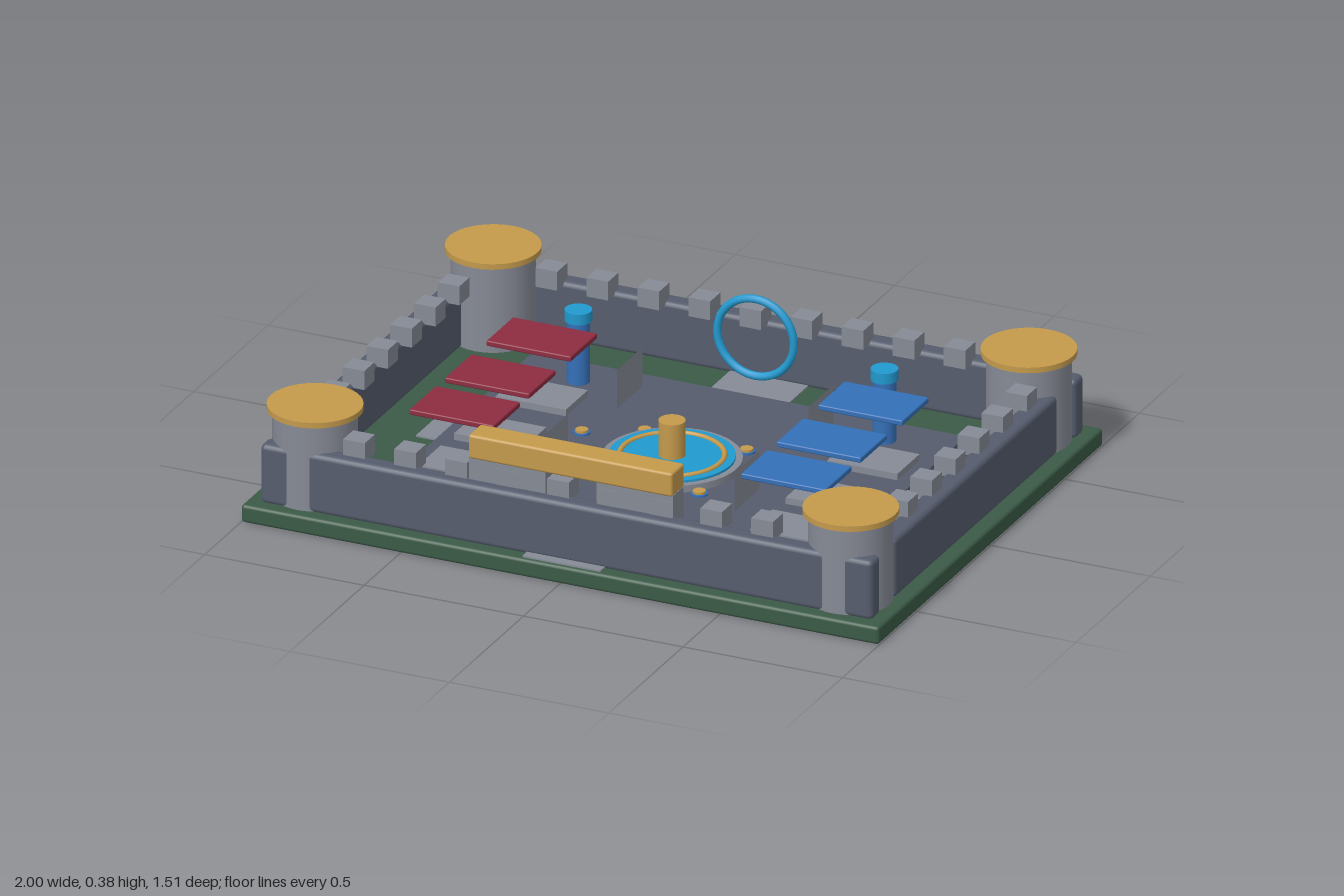
import * as THREE from 'three';
import { RoundedBoxGeometry } from 'three/addons/geometries/RoundedBoxGeometry.js';

const mat = (name, color, side = THREE.FrontSide) => {
  const m = new THREE.MeshStandardMaterial({ color, side });
  m.name = name;
  return m;
};

export function createModel() {
  const model = new THREE.Group();
  model.name = 'courtyardFort';

  const green = mat('grassGreen', 0x3b5a47);
  const slate = mat('slate', 0x555c6d);
  const grey = mat('stoneGrey', 0x868a95, THREE.DoubleSide);
  const gold = mat('gold', 0xc49a4c);
  const red = mat('red', 0x8e2c41);
  const blue = mat('blue', 0x3470b8);
  const cyan = mat('cyan', 0x2199cf);

  const add = (name, geo, material, x, y, z) => {
    const mesh = new THREE.Mesh(geo, material);
    mesh.name = name;
    mesh.position.set(x, y, z);
    model.add(mesh);
    return mesh;
  };
  // Boxes and cylinders are placed by their bottom and top heights
  const box = (name, m, w, d, y0, y1, x, z, r = 0) => add(name,
    r ? new RoundedBoxGeometry(w, y1 - y0, d, 2, r) : new THREE.BoxGeometry(w, y1 - y0, d),
    m, x, (y0 + y1) / 2, z);
  const drum = (name, m, r, y0, y1, x, z, n = 32) => add(name,
    new THREE.CylinderGeometry(r, r, y1 - y0, n), m, x, (y0 + y1) / 2, z);

  // Ground and courtyard
  box('base', green, 2, 1.514, 0, 0.055, 0, 0, 0.01);
  box('courtyard', slate, 1.36, 1.04, 0.05, 0.064, 0, 0);
  for (const s of [-1, 1]) {
    box('gatePath', grey, 0.245, 0.23, 0.05, 0.06, 0, s * 0.63);
    box('sidePath', grey, 0.07, 0.25, 0.05, 0.06, s * 0.71, 0);
  }

  // Walls with battlements
  for (const s of [-1, 1]) {
    box('longWall', slate, 1.92, 0.062, 0.05, 0.235, 0, s * 0.685, 0.016);
    box('sideWall', slate, 0.066, 1.1, 0.05, 0.235, s * 0.922, 0, 0.016);
    for (let i = 0; i < 9; i++)
      box('battlement', grey, 0.068, 0.068, 0.225, 0.284, -0.68 + i * 0.16, s * 0.648);
    for (let i = 0; i < 6; i++)
      box('battlement', grey, 0.068, 0.068, 0.225, 0.284, s * 0.89, -0.44 + i * 0.16);
  }

  // Corner towers
  for (const x of [-0.84, 0.84]) for (const z of [-0.6, 0.6]) {
    drum('tower', grey, 0.122, 0.05, 0.325, x, z);
    drum('towerCap', gold, 0.138, 0.322, 0.339, x, z);
  }

  // Front gate
  for (const s of [-1, 1]) box('gatePillar', grey, 0.24, 0.07, 0.055, 0.305, s * 0.2, 0.645);
  box('gateBeam', gold, 0.64, 0.085, 0.302, 0.376, 0, 0.645, 0.008);

  // Ring standing before the back wall
  add('ringPortal', new THREE.TorusGeometry(0.12, 0.012, 10, 40), cyan, 0, 0.225, -0.563);

  // Fountain
  drum('fountainBasin', grey, 0.202, 0.06, 0.085, 0, 0, 40);
  drum('fountainWater', cyan, 0.182, 0.08, 0.092, 0, 0, 40);
  add('fountainRing', new THREE.TorusGeometry(0.15, 0.008, 8, 40), gold, 0, 0.092, 0)
    .rotation.x = Math.PI / 2;
  drum('fountainColumn', gold, 0.039, 0.08, 0.2, 0, 0, 20);

  // Small studs around the fountain
  for (const [x, z] of [[-0.16, -0.16], [0.16, -0.16], [-0.32, -0.08], [0.32, -0.08],
    [-0.16, 0.16], [0.16, 0.16], [0, 0.28]]) {
    drum('studBase', blue, 0.025, 0.06, 0.07, x, z, 12);
    drum('studTop', gold, 0.019, 0.07, 0.077, x, z, 12);
  }

  // Stalls, screens and lamps on both sides
  for (const s of [-1, 1]) {
    for (const z of [-0.24, 0.04, 0.28]) {
      box('stallFloor', grey, 0.22, 0.15, 0.06, 0.084, s * 0.52, z);
      box('stallCanopy', s < 0 ? red : blue, 0.265, 0.18, 0.243, 0.26, s * 0.52, z, 0.004);
    }
    for (const z of [-0.36, 0.14])
      add('screen', new THREE.PlaneGeometry(0.17, 0.12), grey, s * 0.3, 0.124, z)
        .rotation.y = Math.PI / 2;
    drum('lampPost', blue, 0.034, 0.06, 0.255, s * 0.48, -0.4, 20);
    drum('lampTop', cyan, 0.04, 0.255, 0.288, s * 0.48, -0.4, 20);
  }

  return model;
}
